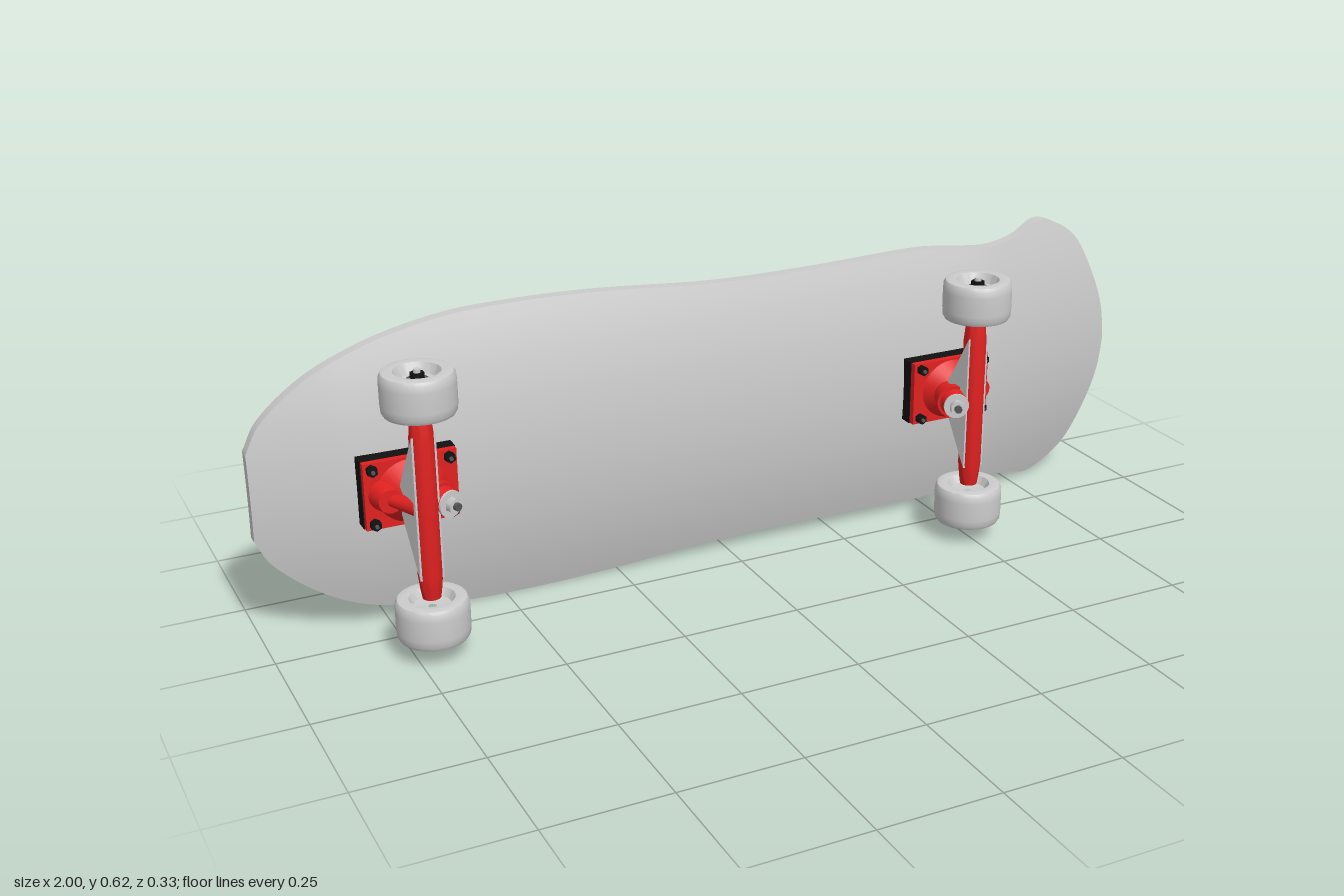
import * as THREE from 'three';
import { toCreasedNormals } from 'three/addons/utils/BufferGeometryUtils.js';

const mat = (color) => new THREE.MeshStandardMaterial({ color });
const grey = mat(0xcccccc), red = mat(0xe02020), black = mat(0x111111), dark = mat(0x555555);
const MID = 0.312; // height of the deck's centre line

function add(parent, name, geometry, material, x = 0, y = 0, z = 0) {
  const mesh = new THREE.Mesh(geometry, material);
  mesh.name = name;
  mesh.position.set(x, y, z);
  parent.add(mesh);
  return mesh;
}

// Cylinder along z, r0 at the deck end, r1 at the far end
const pin = (r0, r1, len, sides = 24) =>
  new THREE.CylinderGeometry(r1, r0, len, sides).rotateX(Math.PI / 2);

const lathe = (pts, sides = 32) =>
  toCreasedNormals(new THREE.LatheGeometry(pts.map(([r, y]) => new THREE.Vector2(r, y)), sides), 0.6);

// Deck underside: concave across, kicked up at both ends
function deckZ(x, h) {
  const kick = (t) => (t + Math.hypot(t, 0.03)) / 2;
  return -0.03 - 0.56 * h * h - 0.25 * kick(x - 0.64) - 0.26 * kick(-0.81 - x);
}

function deckGeometry() {
  // Half width along the length
  const outline = new THREE.CatmullRomCurve3([
    [-1, 0.09], [-0.97, 0.145], [-0.875, 0.225], [-0.77, 0.272], [-0.6, 0.306], [-0.45, 0.312],
    [-0.28, 0.308], [-0.02, 0.29], [0.2, 0.288], [0.48, 0.293], [0.56, 0.285], [0.65, 0.277],
    [0.73, 0.284], [0.8, 0.305], [0.835, 0.3], [0.91, 0.255], [0.96, 0.165], [0.99, 0.08], [1, 0.004],
  ].map(([x, h]) => new THREE.Vector3(x, h, 0))).getPoints(110);
  const M = 24, T = 0.025, pos = [];
  const point = (i, j, top) => {
    const { x, y: w } = outline[i], h = w * (2 * j / M - 1);
    return [x, MID + h, deckZ(x, h) - (top ? T : 0)];
  };
  const quad = (a, b, c, d) => pos.push(...a, ...b, ...c, ...a, ...c, ...d);
  const N = outline.length - 1;
  for (let i = 0; i < N; i++) {
    for (let j = 0; j < M; j++) {
      quad(point(i, j), point(i + 1, j), point(i + 1, j + 1), point(i, j + 1));
      quad(point(i, j, 1), point(i, j + 1, 1), point(i + 1, j + 1, 1), point(i + 1, j, 1));
    }
    // Long edges
    quad(point(i, 0, 1), point(i + 1, 0, 1), point(i + 1, 0), point(i, 0));
    quad(point(i, M), point(i + 1, M), point(i + 1, M, 1), point(i, M, 1));
  }
  // End edges
  for (let j = 0; j < M; j++) {
    quad(point(0, j, 1), point(0, j), point(0, j + 1), point(0, j + 1, 1));
    quad(point(N, j), point(N, j, 1), point(N, j + 1, 1), point(N, j + 1));
  }
  const g = new THREE.BufferGeometry();
  g.setAttribute('position', new THREE.Float32BufferAttribute(pos, 3));
  return toCreasedNormals(g, 0.6);
}

// Triangular web, thicker towards its middle
function webGeometry(halfThick) {
  const s = new THREE.Shape([
    new THREE.Vector2(-0.147, 0.108), new THREE.Vector2(-0.03, 0.045),
    new THREE.Vector2(0.03, 0.045), new THREE.Vector2(0.147, 0.108),
  ]);
  const g = new THREE.ExtrudeGeometry(s, { depth: 1, bevelEnabled: false });
  const p = g.attributes.position;
  for (let i = 0; i < p.count; i++) {
    const y = p.getX(i), z = p.getY(i), side = p.getZ(i) - 0.5;
    p.setXYZ(i, 2 * side * (Math.abs(y) > 0.1 ? 0.024 : halfThick), y, z);
  }
  g.computeVertexNormals();
  return g;
}

function wheel(side) {
  const g = new THREE.Group();
  g.name = 'wheel';
  add(g, 'tyre', lathe([
    [0.008, -0.022], [0.036, -0.026], [0.045, -0.042], [0.058, -0.0435], [0.067, -0.041], [0.071, -0.034],
    [0.072, -0.02], [0.072, 0.02], [0.071, 0.034], [0.067, 0.041], [0.058, 0.0435], [0.045, 0.042],
    [0.036, 0.022], [0.022, 0.018], [0.02, 0.022], [0, 0.022],
  ], 40), grey);
  add(g, 'bearing', new THREE.CylinderGeometry(0.021, 0.021, 0.008, 24), dark, 0, 0.022);
  add(g, 'axleNut', new THREE.CylinderGeometry(0.014, 0.014, 0.016, 6), black, 0, 0.03);
  add(g, 'axleTip', new THREE.CylinderGeometry(0.007, 0.007, 0.045, 12), grey, 0, 0.0225);
  if (side < 0) g.rotation.x = Math.PI;
  g.position.set(0, side * 0.2315, 0.095);
  return g;
}

// Truck, kingpin towards local +x
function truck(name) {
  const g = new THREE.Group();
  g.name = name;
  add(g, 'riser', new THREE.BoxGeometry(0.19, 0.14, 0.03), black, 0, 0, -0.02);
  add(g, 'basePlate', new THREE.BoxGeometry(0.186, 0.138, 0.014), red, 0, 0, 0.002);
  const body = add(g, 'baseBody', pin(0.066, 0.034, 0.046, 32), red, 0, 0, 0.031);
  body.scale.x = 1.08;
  add(g, 'pivotCup', pin(0.034, 0.024, 0.04), red, -0.052, 0, 0.026);
  for (const x of [-0.077, 0.077]) for (const y of [-0.056, 0.056]) {
    add(g, 'mountNut', pin(0.011, 0.011, 0.014, 6), black, x, y, 0.016);
    add(g, 'mountBolt', pin(0.004, 0.004, 0.02, 8), dark, x, y, 0.018);
    add(g, 'deckBolt', pin(0.008, 0.008, 0.004, 12), dark, x, y, deckZ(0, y) - 0.026);
  }

  // Hanger: tapered axle housing, web and pivot arm
  add(g, 'axleHousing', lathe([
    [0, -0.19], [0.018, -0.19], [0.021, -0.17], [0.024, -0.14], [0.024, 0.14],
    [0.021, 0.17], [0.018, 0.19], [0, 0.19],
  ], 24), red, 0, 0, 0.095);
  add(g, 'hangerWeb', webGeometry(0.033), grey);
  const arm = add(g, 'pivotArm', pin(0.012, 0.02, 0.07, 16), red, -0.032, 0, 0.062);
  arm.rotation.y = 0.6;

  // Tilted kingpin stack
  const kingpin = new THREE.Group();
  kingpin.name = 'kingpin';
  add(kingpin, 'lowerBushing', pin(0.034, 0.03, 0.03), red, 0, 0, 0.045);
  add(kingpin, 'hangerRing', pin(0.036, 0.036, 0.016), red, 0, 0, 0.068);
  add(kingpin, 'upperBushing', pin(0.03, 0.026, 0.02), red, 0, 0, 0.086);
  add(kingpin, 'washer', pin(0.027, 0.027, 0.005), grey, 0, 0, 0.0985);
  add(kingpin, 'kingpinNut', pin(0.016, 0.016, 0.014, 6), grey, 0, 0, 0.108);
  add(kingpin, 'kingpinTip', pin(0.008, 0.008, 0.012, 12), dark, 0, 0, 0.117);
  kingpin.position.set(0.012, 0, 0.012);
  kingpin.rotation.y = 0.35;
  g.add(kingpin);

  g.add(wheel(1), wheel(-1));
  return g;
}

export function createModel() {
  const model = new THREE.Group();
  model.name = 'skateboard';
  add(model, 'deck', deckGeometry(), grey);
  const nose = truck('noseTruck');
  nose.position.set(-0.711, MID, 0);
  const tail = truck('tailTruck');
  tail.position.set(0.503, MID, 0);
  tail.rotation.z = Math.PI;
  model.add(nose, tail);
  return model;
}
